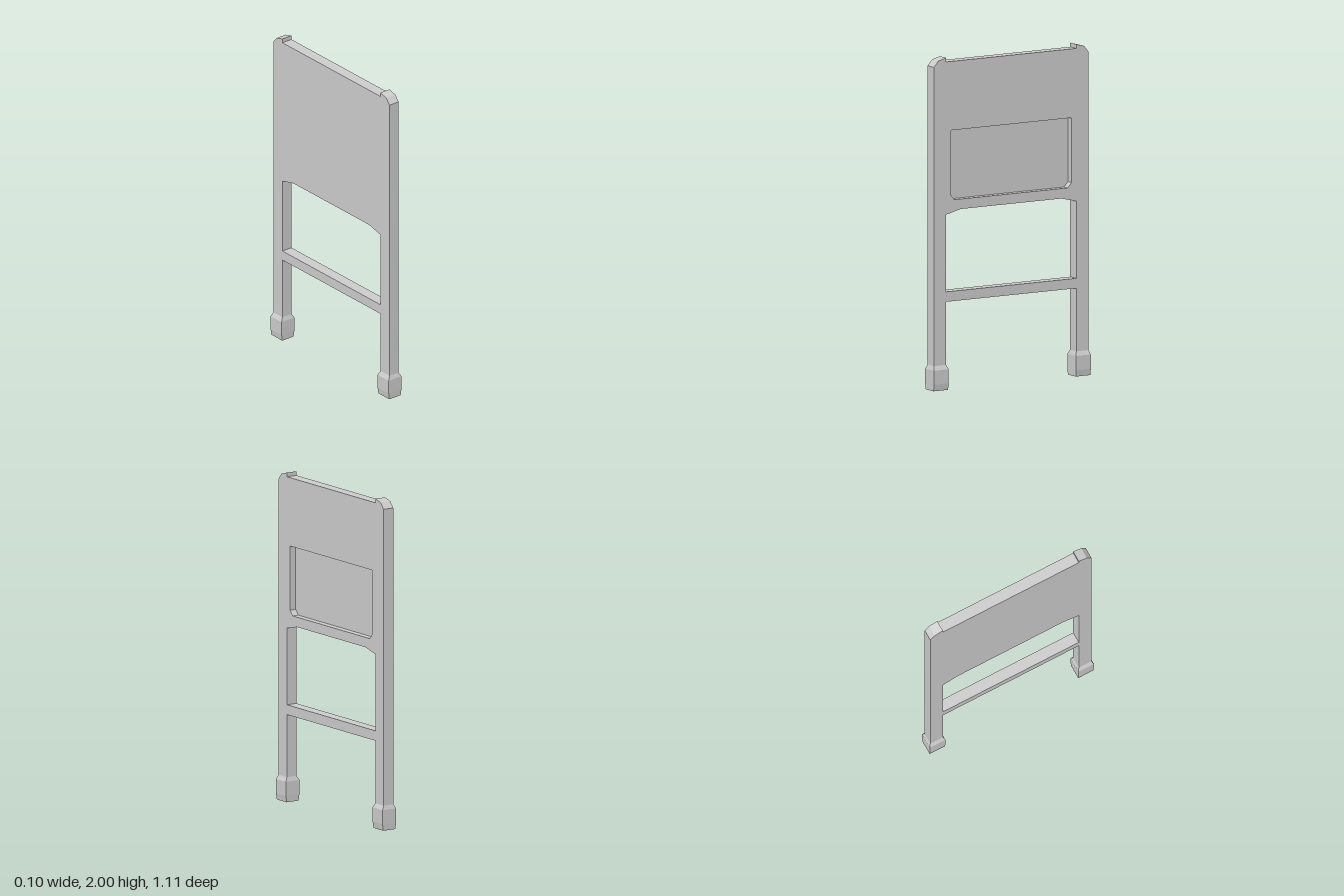
import * as THREE from 'three';

const material = new THREE.MeshStandardMaterial({ color: 0xcccccc, flatShading: true });
const HALF = 0.035; // half thickness of the frame

// Half outline [z, y] mirrored into a closed loop
const mirrored = (half) => [
  ...half,
  ...half.slice().reverse().map(([z, y]) => [-z, y]),
].map(([z, y]) => new THREE.Vector2(z, y));

// Extrude a z-y profile across x, from x0 to x1
function slab(name, shape, x0, x1) {
  const geometry = new THREE.ExtrudeGeometry(shape, { depth: x1 - x0, bevelEnabled: false });
  geometry.translate(0, 0, x0).rotateY(Math.PI / 2);
  const mesh = new THREE.Mesh(geometry, material);
  mesh.name = name;
  return mesh;
}

// Rubber foot: square rings [y, half width x, half width z] joined by quads
function foot(z) {
  const rings = [
    [0, 0.043, 0.051], [0.04, 0.049, 0.052], [0.125, 0.049, 0.052], [0.15, HALF, 0.0425],
  ];
  const corners = [[1, 1], [1, -1], [-1, -1], [-1, 1]];
  const positions = rings.flatMap(([y, w, d]) => corners.flatMap(([sx, sz]) => [sx * w, y, sz * d]));
  const index = [0, 2, 1, 0, 3, 2];
  for (let r = 0; r < rings.length - 1; r++) {
    for (let i = 0; i < 4; i++) {
      const a = r * 4 + i, b = r * 4 + (i + 1) % 4;
      index.push(a, b, b + 4, a, b + 4, a + 4);
    }
  }
  const geometry = new THREE.BufferGeometry();
  geometry.setAttribute('position', new THREE.Float32BufferAttribute(positions, 3));
  geometry.setIndex(index);
  const flat = geometry.toNonIndexed();
  flat.computeVertexNormals();
  const mesh = new THREE.Mesh(flat, material);
  mesh.name = z > 0 ? 'frontFoot' : 'backFoot';
  mesh.position.z = z;
  return mesh;
}

export function createModel() {
  const group = new THREE.Group();
  group.name = 'panelFrame';

  // Posts, panel and crossbar as one flush frame, open below the crossbar
  const frame = new THREE.Shape(mirrored([
    [0.46, 0.53], [0.46, 0.14], [0.545, 0.14], [0.545, 1.95],
    [0.515, 1.985], [0.46, 2], [0.46, 1.975],
  ]));

  // Opening between crossbar and panel
  const opening = mirrored([[0.46, 0.59], [0.46, 1.055], [0.355, 1.08]]);
  // Recess with clipped lower corners
  const recess = mirrored([[0.40, 1.14], [0.427, 1.17], [0.427, 1.56]]);
  frame.holes.push(new THREE.Path(opening), new THREE.Path(recess));

  group.add(slab('frame', frame, -HALF, HALF));
  group.add(slab('recessFloor', new THREE.Shape(recess), -HALF, -0.006));
  for (const side of [1, -1]) group.add(foot(side * 0.5025));
  return group;
}
